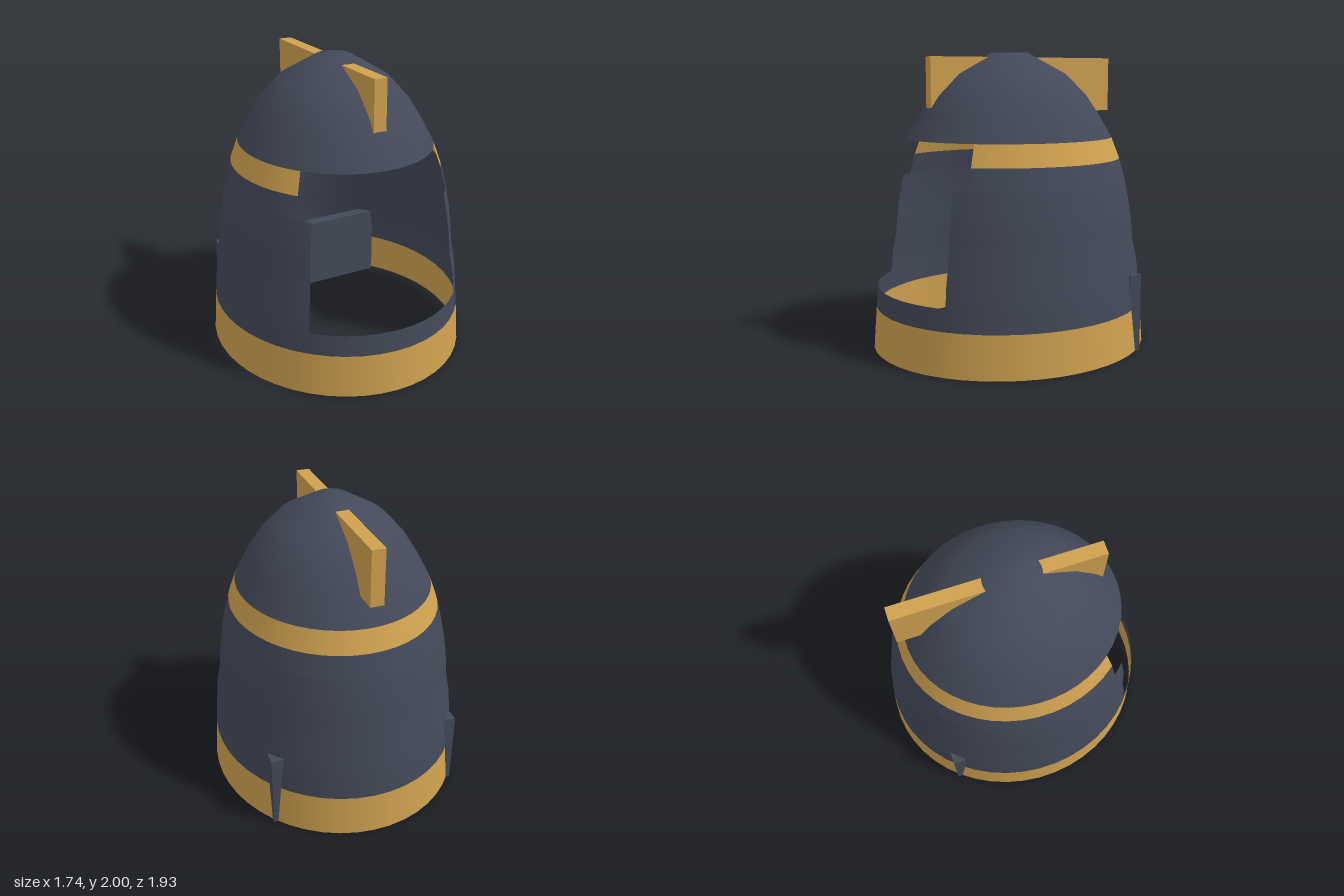
import * as THREE from 'three';

const STEP = 2 / 14; // height of one profile ring
// Shell half-width at each ring, from the rim to the crown
const RADII = [0.87, 0.86, 0.85, 0.838, 0.825, 0.797, 0.785, 0.765, 0.737, 0.70, 0.648, 0.572, 0.484, 0.355, 0.116];
const DEPTH = 1.11; // the shell is deeper than wide
const SEGMENTS = 48;
const SEG_ANGLE = (Math.PI * 2) / SEGMENTS;

export function createModel() {
  const slate = new THREE.MeshStandardMaterial({ color: 0x434959, side: THREE.DoubleSide });
  slate.name = 'slate';
  const gold = new THREE.MeshStandardMaterial({ color: 0xcfa14f, side: THREE.DoubleSide });
  gold.name = 'gold';
  const model = new THREE.Group();
  model.name = 'helmet';

  // Thin elliptical wall between two rings, leaving out `gap` segments at the front
  function shell(name, from, to, gap, material) {
    const points = [];
    for (let i = from; i <= to; i++) points.push(new THREE.Vector2(RADII[i], i * STEP));
    if (to === RADII.length - 1) points.push(new THREE.Vector2(0, 2));
    const start = (gap / 2 || 0.5) * SEG_ANGLE;
    const geometry = new THREE.LatheGeometry(points, SEGMENTS - gap, start, (SEGMENTS - gap) * SEG_ANGLE);
    const mesh = new THREE.Mesh(geometry, material);
    mesh.name = name;
    mesh.scale.z = DEPTH;
    model.add(mesh);
  }

  function box(name, size, position, material) {
    const mesh = new THREE.Mesh(new THREE.BoxGeometry(...size), material);
    mesh.name = name;
    mesh.position.set(...position);
    model.add(mesh);
  }

  // Shell, from the rim up, with the stepped face opening
  shell('rimBand', 0, 2, 0, gold);
  shell('chinGuard', 2, 3, 0, slate);
  shell('cheekGuards', 3, 8, 11, slate);
  shell('eyeLevelWall', 8, 9, 13, slate);
  shell('browBand', 9, 10, 13, gold);
  shell('dome', 10, 14, 0, slate);

  // Crest fin running front to back through the dome
  box('crestFin', [0.09, 0.37, 1.355], [0, 1.785, -0.0875], gold);

  // Neck plate crossing the back, its ends showing through the shell
  box('neckPlate', [1.32, 0.525, 0.086], [0, 0.2625, -0.62], slate);

  return model;
}
